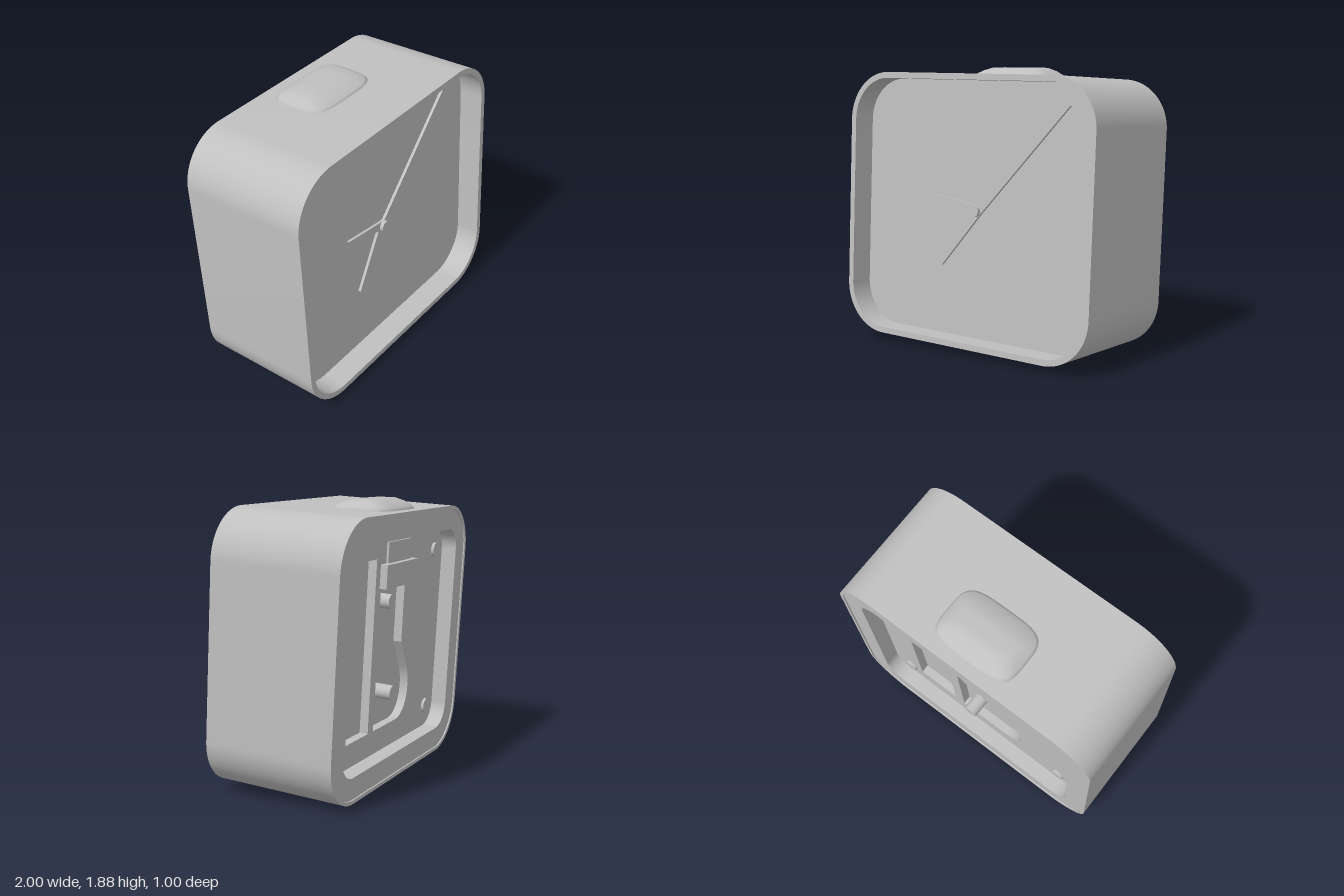
import * as THREE from 'three';
import { toCreasedNormals } from 'three/addons/utils/BufferGeometryUtils.js';

const W = 1, H = 0.905, R = 0.33;

// Rounded rectangle, inset from the outer outline of the case
function outline(inset, path = new THREE.Shape()) {
  const w = W - inset, h = H - inset, r = R - inset;
  path.moveTo(w, -h + r);
  path.lineTo(w, h - r);
  path.absarc(w - r, h - r, r, 0, Math.PI / 2);
  path.absarc(-w + r, h - r, r, Math.PI / 2, Math.PI);
  path.absarc(-w + r, -h + r, r, Math.PI, Math.PI * 1.5);
  path.absarc(w - r, -h + r, r, Math.PI * 1.5, Math.PI * 2);
  return path;
}

// Extrude a shape between two depths, keeping curved walls smooth
function slab(shape, z0, z1) {
  const geo = new THREE.ExtrudeGeometry(shape, { depth: z1 - z0, bevelEnabled: false, curveSegments: 14 });
  geo.translate(0, 0, z0);
  return toCreasedNormals(geo, 0.5);
}

function ring(outer, inner, z0, z1) {
  const s = outline(outer);
  s.holes.push(outline(inner, new THREE.Path()));
  return slab(s, z0, z1);
}

// Soft button: superellipse loops rising from the tilted top to a level cap
function buttonGeometry() {
  const n = 48, cz = -0.215;
  const rows = [[0.3, 0.21, -0.4], [0.3, 0.21, 0], [0.285, 0.193, 0.25], [0.25, 0.15, 0.65], [0.2, 0.09, 1], [0.1, 0.045, 1.02]];
  const pos = [], idx = [];
  for (const [a, b, t] of rows) {
    for (let i = 0; i < n; i++) {
      const u = (i / n) * Math.PI * 2, c = Math.cos(u), s = Math.sin(u);
      const x = a * Math.sign(c) * Math.sqrt(Math.abs(c));
      const dz = b * Math.sign(s) * Math.sqrt(Math.abs(s));
      const base = 1.826 + 0.055 * dz;
      pos.push(x, base + (1.885 - base) * t, cz + dz);
    }
  }
  for (let r = 0; r < rows.length - 1; r++) {
    for (let i = 0; i < n; i++) {
      const j = (i + 1) % n, a = r * n + i, b = r * n + j;
      idx.push(a, a + n, b, b, a + n, b + n);
    }
  }
  const top = pos.length / 3, last = (rows.length - 1) * n;
  pos.push(0, 1.886, cz);
  for (let i = 0; i < n; i++) idx.push(last + i, top, last + ((i + 1) % n));
  const geo = new THREE.BufferGeometry();
  geo.setAttribute('position', new THREE.Float32BufferAttribute(pos, 3));
  geo.setIndex(idx);
  geo.computeVertexNormals();
  return geo;
}

export function createModel() {
  const model = new THREE.Group();
  const grey = new THREE.MeshStandardMaterial({ color: 0xc0c0c0 });
  grey.name = 'grey';

  // The whole clock leans back slightly
  const clock = new THREE.Group();
  clock.name = 'clock';
  clock.rotation.x = -0.055;
  clock.position.y = 0.93;
  model.add(clock);

  const add = (name, geo, parent = clock) => {
    const mesh = new THREE.Mesh(geo, grey);
    mesh.name = name;
    parent.add(mesh);
    return mesh;
  };
  // Cylinder lying along z between two depths
  const pin = (name, x, y, r, z0, z1) => {
    const geo = new THREE.CylinderGeometry(r, r, z1 - z0, 28);
    geo.rotateX(Math.PI / 2);
    add(name, geo).position.set(x, y, (z0 + z1) / 2);
  };
  const box = (name, x0, x1, y0, y1, z0, z1) =>
    add(name, new THREE.BoxGeometry(x1 - x0, y1 - y0, z1 - z0))
      .position.set((x0 + x1) / 2, (y0 + y1) / 2, (z0 + z1) / 2);

  // Case
  add('caseShell', ring(0, 0.04, -0.4, 0.45));
  add('caseBackLip', ring(0, 0.025, -0.45, -0.4));
  add('backRim', ring(0.025, 0.17, -0.44, -0.33));
  add('dial', slab(outline(0.035), -0.27, 0.28));

  // Back panel with a long slot and a stepped battery recess
  const panel = outline(0.035);
  const slot = new THREE.Path();
  slot.setFromPoints([[0.26, -0.57], [0.58, -0.57], [0.58, 0.6], [0.26, 0.6]].map(p => new THREE.Vector2(...p)));
  const recess = new THREE.Path();
  recess.moveTo(0.18, 0.5);
  recess.lineTo(-0.2, 0.5);
  recess.lineTo(-0.2, -0.02);
  recess.lineTo(-0.32, -0.22);
  recess.bezierCurveTo(-0.4, -0.38, -0.33, -0.56, -0.18, -0.57);
  recess.lineTo(0.18, -0.57);
  panel.holes.push(slot, recess);
  add('backPanel', slab(panel, -0.33, -0.27));

  // Latch above the recess, screws and setting knobs
  box('latch', -0.29, 0.2, 0.4, 0.56, -0.38, -0.3);
  box('latchTab', -0.24, 0.12, 0.55, 0.7, -0.345, -0.3);
  for (const x of [-0.68, 0.68]) {
    for (const y of [-0.58, 0.58]) pin('screw', x, y, 0.052, -0.35, -0.3);
  }
  pin('upperKnob', 0.06, 0.3, 0.05, -0.36, -0.26);
  pin('lowerKnob', 0.05, -0.32, 0.05, -0.4, -0.26);

  // Three pointed hands joined at the hub
  const hands = new THREE.Shape([
    [0.715, 0.72], [0.01, 0.035], [-0.37, 0.09], [-0.055, -0.02], [-0.275, -0.395], [0.04, -0.02],
  ].map(p => new THREE.Vector2(...p)));
  add('hands', slab(hands, 0.28, 0.3));
  pin('hub', 0, 0, 0.04, 0.27, 0.325);

  // Snooze button
  add('topButton', buttonGeometry(), model);

  return model;
}
